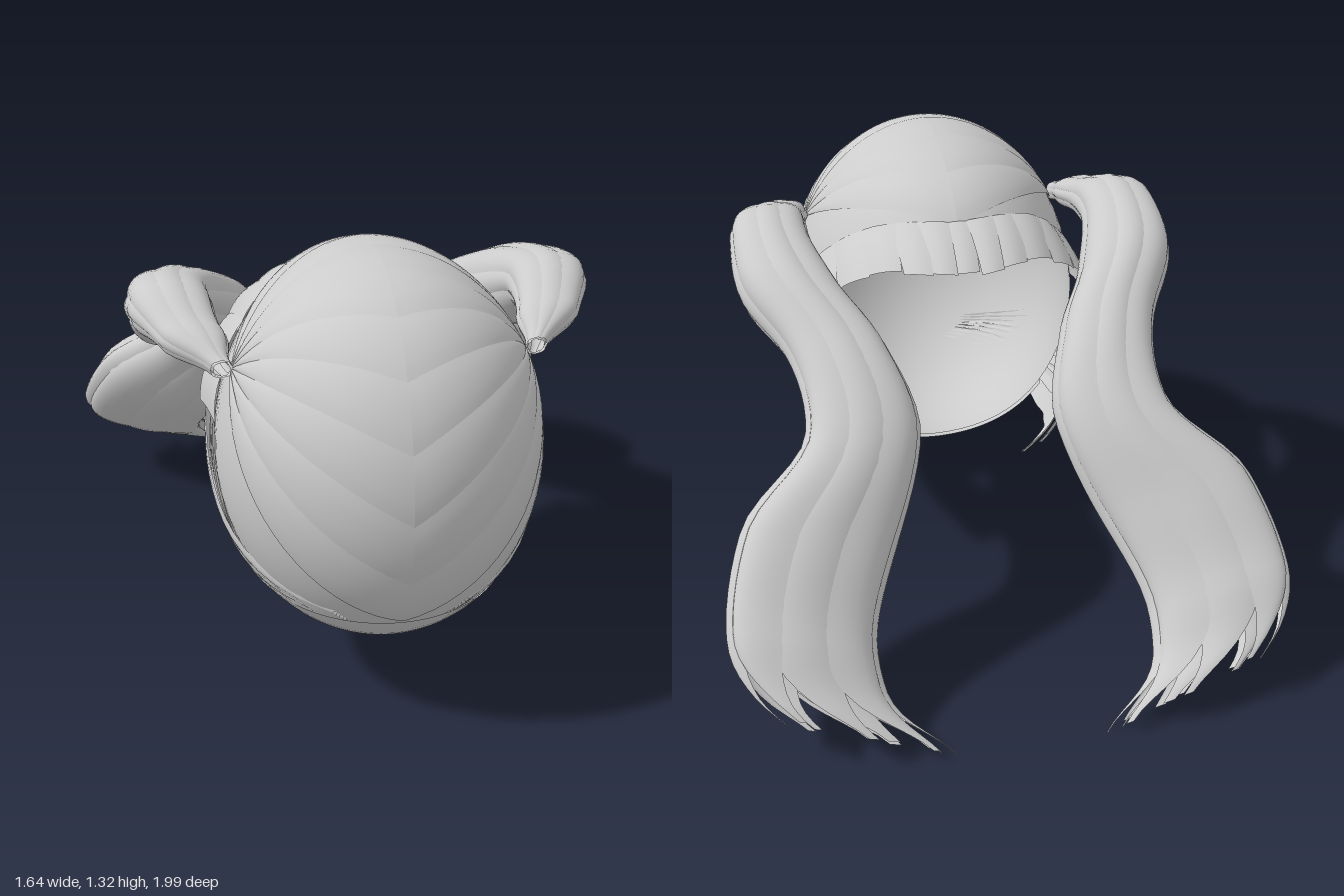
import * as THREE from 'three';
import { ParametricGeometry } from 'three/addons/geometries/ParametricGeometry.js';

const material = new THREE.MeshStandardMaterial({ color: 0xcccccc, side: THREE.DoubleSide });
const V = (x, y, z) => new THREE.Vector3(x, y, z);
const { sin, cos, asin, abs, sqrt, max, min, PI } = Math;
const rad = PI / 180;
const mix = THREE.MathUtils.lerp;
const smooth = THREE.MathUtils.smoothstep;

// Smooth surface from a rule f(u, v) -> point
function sheet(name, f, nu, nv) {
  const geometry = new ParametricGeometry((u, v, out) => out.copy(f(u, v)), nu, nv);
  geometry.computeVertexNormals();
  const mesh = new THREE.Mesh(geometry, material);
  mesh.name = name;
  return mesh;
}

// Point of the skull surface in a unit direction, k scales it outward
function skull(d, k = 1) {
  const lift = d.y > 0 && d.z < 0 ? 0.12 * d.y * d.z * d.z : 0;
  return V(0.47 * d.x * k, 0.757 + 0.565 * d.y * k + lift, 0.5 + (d.z > 0 ? 0.49 : 0.6) * d.z * k);
}
// Direction by angle from +z (theta) and turn around z (phi)
const dir = (theta, phi) => V(sin(theta) * cos(phi), sin(theta) * sin(phi), cos(theta));
// Opening edge: reaches over the forehead, draws back under the nape
const rim = phi => (107 + 39 * max(0, sin(phi)) ** 1.5 - 8 * max(0, -sin(phi)) ** 5) * rad;

// Scalp locks run from the centre parting to the tie on one side
function scalpLock(side, t0, t1) {
  const tie = V(0.88 * side, 0.475, 0.02).normalize();
  return sheet('scalpLock', (u, v) => {
    const t = mix(t0, t1, v) * rad;
    const start = V(0, sin(t), cos(t));
    const angle = start.angleTo(tie);
    const d = start.multiplyScalar(sin((1 - u) * angle)).addScaledVector(tie, sin(u * angle)).divideScalar(sin(angle));
    return skull(d, 0.995 + 0.01 * sin(PI * v) ** 0.6);
  }, 20, 6);
}

// Side locks fan out round the cheek and droop at the tip
function sideLock(side, i) {
  const f = i / 5;
  const reach = 0.025 * (i % 3);
  const path = new THREE.CatmullRomCurve3([
    V(0, mix(0.38, 0.42, f), 0.84),
    V(0, mix(0.38, 0.54, f), 0.55),
    V(0, mix(0.42, 0.67, f), 0.28),
    V(0, mix(0.45, 0.725, f), 0.14),
    V(0, mix(0.43, 0.69, f), 0.04 - reach),
    V(0, mix(0.35, 0.58, f), 0.0 - reach),
  ]);
  return sheet('sideLock', (u, v) => {
    const p = path.getPoint(u);
    const tan = path.getTangent(u);
    const w = 0.058 * min(1, 0.25 + u * 2) * (1 - 0.93 * smooth(u, 0.6, 1));
    p.y -= (v - 0.5) * 2 * w * tan.z;
    p.z += (v - 0.5) * 2 * w * tan.y;
    const dy = (p.y - 0.757) / 0.565, dz = (p.z - 0.5) / (p.z > 0.5 ? 0.49 : 0.9);
    const x = 0.47 * sqrt(max(0.02, 1 - dy * dy - dz * dz));
    const out = 0.012 * sin(PI * v) + 0.012 * (i % 2) * u;
    p.x = side * (x - 0.012 + 0.02 * smooth(u, 0, 0.35) + out);
    return p;
  }, 28, 5);
}

// Fringe locks stand off the forehead edge like a short visor
function fringeLock(phi, i) {
  const half = 8 * rad;
  const reach = 0.135 + 0.012 * ((i * 2) % 3);
  return sheet('fringeLock', (u, v) => {
    const a = phi + (v - 0.5) * 2 * half * (1 - 0.2 * u);
    const p = skull(dir(rim(a) - 0.12 * (1 - u), a), 0.985 + 0.012 * sin(PI * v) + 0.006 * (i % 2));
    p.x += 0.04 * cos(a) * u;
    p.y += -0.05 * u * u + 0.012 * u;
    p.z -= reach * u;
    return p;
  }, 8, 5);
}

// Pigtail stations: centre, half width across, half thickness
const stations = [
  [0.44, 1.035, 0.53, 0.03, 0.03], [0.51, 1.075, 0.4, 0.09, 0.055],
  [0.555, 1.095, 0.22, 0.115, 0.09], [0.52, 1.0, 0.0, 0.14, 0.12],
  [0.41, 0.89, -0.2, 0.14, 0.105], [0.37, 0.725, -0.4, 0.16, 0.095],
  [0.53, 0.5, -0.57, 0.21, 0.105], [0.61, 0.3, -0.75, 0.2, 0.085],
  [0.58, 0.17, -0.89, 0.2, 0.055], [0.47, 0.06, -0.985, 0.19, 0.04],
];
const spine = new THREE.CatmullRomCurve3(stations.map(s => V(s[0], s[1], s[2])));
function girth(t, k) {
  const f = t * (stations.length - 1), i = min(stations.length - 2, Math.floor(f));
  return mix(stations[i][k], stations[i + 1][k], smooth(f - i, 0, 1));
}

// One pigtail lock covers a sector of the oval bundle and tapers to a tip
function tailLock(side, i, count, layer) {
  const mid = (i + 0.5 * layer) / count * 2 * PI;
  const half = PI / count * 1.3;
  const inner = (1 - cos(mid)) / 2;
  const end = 0.92 + 0.08 * mix(abs(sin(i * 2.3 + 1)) * 0.4, 1, inner);
  const size = (layer ? 0.72 : 0.95) + 0.05 * (i % 2);
  return sheet('pigtailLock', (u, v) => {
    const t = u * end;
    const c = spine.getPoint(t), tan = spine.getTangent(t);
    const normal = V(0, -tan.z, tan.y).normalize();
    const taper = 1 - 0.85 * smooth(u, 0.82, 1);
    const a = mid + (v - 0.5) * 2 * half * taper;
    const k = size + 0.1 * sin(PI * v) * taper;
    const across = girth(t, 3) * cos(a) * k;
    c.x += across;
    // the lower half rolls so its outer edge rides higher
    c.y += across * 0.28 * smooth(t, 0.45, 0.65);
    c.addScaledVector(normal, girth(t, 4) * sin(a) * k);
    // tips curl inward
    c.x -= (0.03 + 0.04 * inner) * smooth(u, 0.85, 1);
    c.x *= side;
    c.y = max(0, c.y);
    return c;
  }, 48, 8);
}

export function createModel() {
  const model = new THREE.Group();
  model.name = 'pigtailHair';

  // Under-cap with open face side
  model.add(sheet('cap', (u, v) => {
    const phi = u * 2 * PI;
    return skull(dir(max(0.001, v * rim(phi)), phi), 0.99);
  }, 64, 32));

  // Nape bowl with a straight upper edge
  const low = 0.63, first = asin(low) + 0.001;
  model.add(sheet('napeBowl', (u, v) => {
    const phi = -mix(first, PI - first, u);
    const from = asin(min(1, low / abs(sin(phi))));
    return skull(dir(mix(from, rim(phi) + 0.01, v), phi), 1.005);
  }, 40, 14));

  const scalp = new THREE.Group(), cheeks = new THREE.Group(), fringe = new THREE.Group();
  scalp.name = 'scalpLocks';
  cheeks.name = 'sideLocks';
  fringe.name = 'fringe';
  model.add(scalp, cheeks, fringe);

  for (const side of [1, -1]) {
    for (let i = 0; i < 9; i++) scalp.add(scalpLock(side, -40 + i * 20, -19 + i * 20));
    for (let i = 0; i < 6; i++) cheeks.add(sideLock(side, i));
    const tail = new THREE.Group();
    tail.name = side > 0 ? 'leftPigtail' : 'rightPigtail';
    for (let i = 0; i < 8; i++) tail.add(tailLock(side, i, 8, 0));
    for (let i = 0; i < 5; i++) tail.add(tailLock(side, i, 5, 1));
    model.add(tail);
  }
  for (let i = 0; i < 13; i++) fringe.add(fringeLock((12 + i * 13) * rad, i));

  return model;
}
